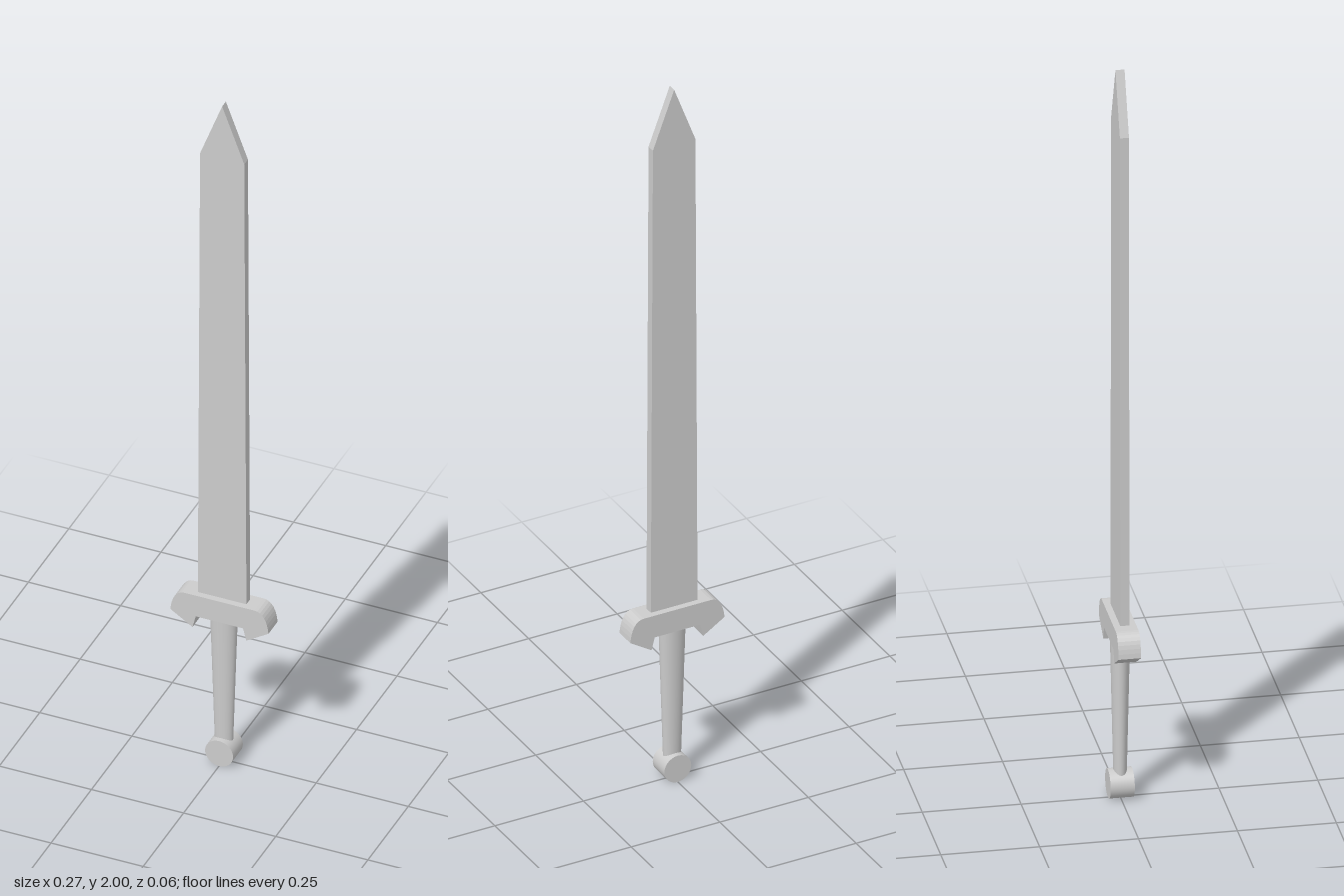
import * as THREE from 'three';

const grey = new THREE.MeshStandardMaterial({ color: 0xcccccc });

function add(group, name, geometry) {
  const mesh = new THREE.Mesh(geometry, grey);
  mesh.name = name;
  group.add(mesh);
  return mesh;
}

// Extrude a front outline, centred on its depth
function slab(shape, depth) {
  return new THREE.ExtrudeGeometry(shape, { depth, bevelEnabled: false, curveSegments: 8 })
    .translate(0, 0, -depth / 2);
}

function outline(points) {
  return new THREE.Shape(points.map(([x, y]) => new THREE.Vector2(x, y)));
}

export function createModel() {
  const sword = new THREE.Group();
  sword.name = 'sword';

  // Flat blade, slightly tapered, with a separate triangular point
  const shoulder = 1.84, halfTop = 0.06;
  add(sword, 'blade', slab(outline([
    [-0.066, 0.49], [0.066, 0.49], [halfTop, shoulder], [-halfTop, shoulder],
  ]), 0.023));
  add(sword, 'bladePoint', slab(outline([
    [-halfTop, shoulder], [halfTop, shoulder], [0, 2],
  ]), 0.023));

  // Crossguard with rounded shoulders and down-turned hooked ends
  const guard = new THREE.Shape();
  guard.moveTo(-0.095, 0.5);
  guard.bezierCurveTo(-0.118, 0.5, -0.13, 0.475, -0.133, 0.44);
  guard.lineTo(-0.073, 0.402);
  guard.lineTo(-0.064, 0.437);
  guard.lineTo(0.064, 0.437);
  guard.lineTo(0.073, 0.402);
  guard.lineTo(0.133, 0.44);
  guard.bezierCurveTo(0.13, 0.475, 0.118, 0.5, 0.095, 0.5);
  guard.closePath();
  add(sword, 'crossguard', slab(guard, 0.057));

  // Oval grip, narrowing towards the pommel
  const grip = add(sword, 'grip', new THREE.CylinderGeometry(0.036, 0.024, 0.38, 32));
  grip.position.y = 0.25;
  grip.scale.z = 0.69;

  // Disc pommel lying front to back
  const pommel = add(sword, 'pommel', new THREE.CylinderGeometry(0.038, 0.038, 0.061, 32));
  pommel.rotation.x = Math.PI / 2;
  pommel.position.y = 0.038;

  return sword;
}
